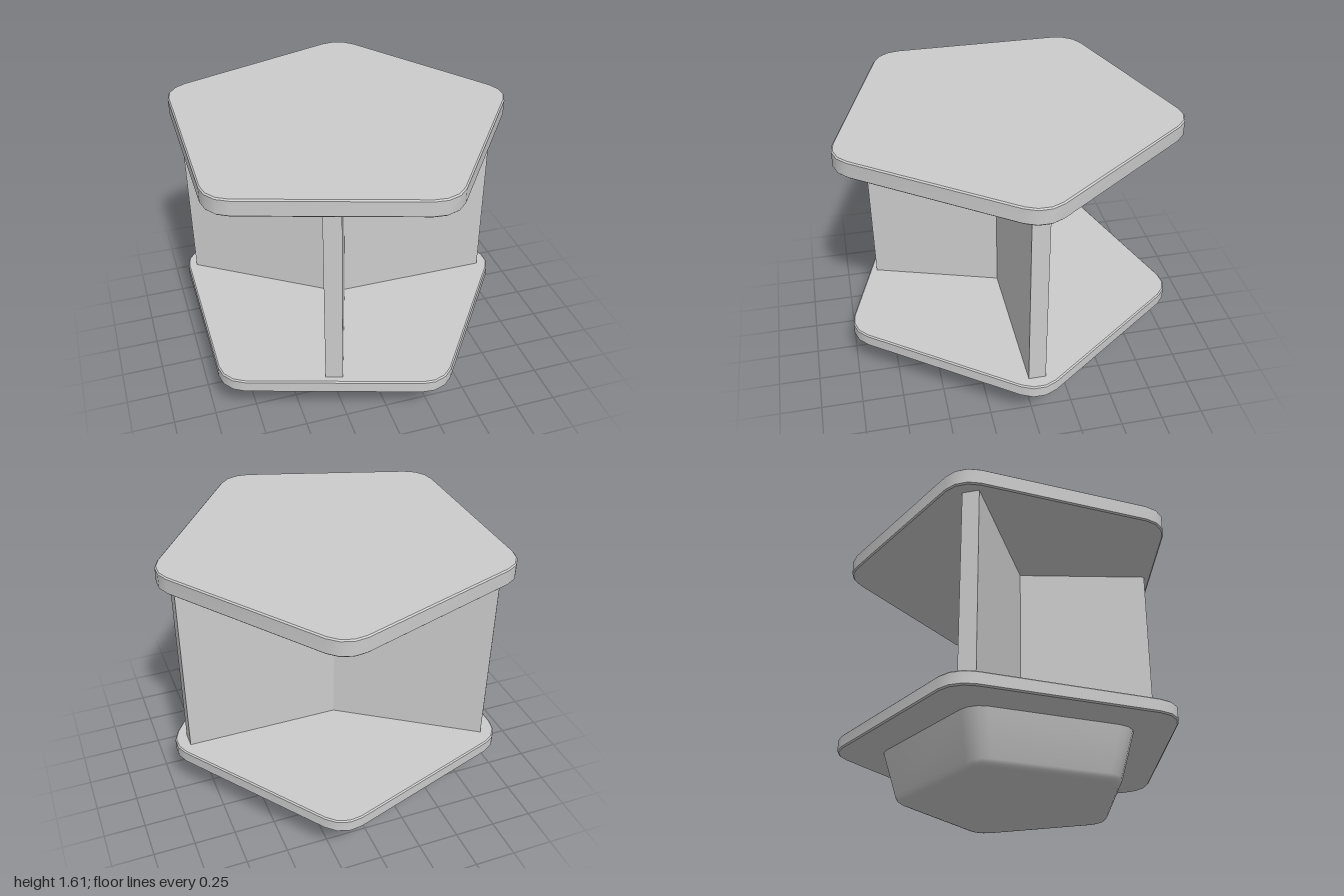
import * as THREE from 'three';
import { toCreasedNormals } from 'three/addons/utils/BufferGeometryUtils.js';

const CENTRE_X = -0.082; // pentagon centre; one corner points to +x
const material = new THREE.MeshStandardMaterial({ color: 0xcccccc });

// Rounded pentagon outline: three short segments per corner
function pentagon(inset, scale) {
  const corner = 0.862, radius = 0.18 - inset, points = [];
  for (let i = 0; i < 5; i++) {
    const mid = (i * 72 * Math.PI) / 180;
    for (const step of [-36, -12, 12, 36]) {
      const a = mid + (step * Math.PI) / 180;
      points.push([
        scale * (corner * Math.cos(mid) + radius * Math.cos(a)),
        scale * (corner * Math.sin(mid) + radius * Math.sin(a)),
      ]);
    }
  }
  return points;
}

// Closed solid through stacked pentagons, listed from bottom to top
function loft(name, levels) {
  const rings = levels.map(({ y, inset = 0, scale = 1 }) =>
    pentagon(inset, scale).map(([x, z]) => [x, y, z]));
  const n = rings[0].length, top = rings.length - 1, pos = [];
  const tri = (...corners) => corners.forEach((c) => pos.push(...c));
  for (let j = 0; j < n; j++) {
    const k = (j + 1) % n;
    for (let i = 0; i < top; i++) {
      tri(rings[i][j], rings[i + 1][j], rings[i][k]);
      tri(rings[i][k], rings[i + 1][j], rings[i + 1][k]);
    }
    tri([0, levels[0].y, 0], rings[0][j], rings[0][k]);
    tri([0, levels[top].y, 0], rings[top][k], rings[top][j]);
  }
  const geometry = new THREE.BufferGeometry();
  geometry.setAttribute('position', new THREE.Float32BufferAttribute(pos, 3));
  const mesh = new THREE.Mesh(toCreasedNormals(geometry, 0.55), material);
  mesh.name = name;
  return mesh;
}

// Flat plate with a fine bevel on both rims
function plate(name, y0, y1) {
  const b = 0.008;
  return loft(name, [
    { y: y0, inset: b }, { y: y0 + b }, { y: y1 - b }, { y: y1, inset: b },
  ]);
}

// Upright wall running outwards from the centre
function wall(name, degrees, length) {
  const y0 = 0.37, y1 = 1.515;
  const geometry = new THREE.BoxGeometry(length, y1 - y0, 0.1);
  geometry.translate(length / 2, (y0 + y1) / 2, 0);
  const mesh = new THREE.Mesh(geometry, material);
  mesh.rotation.y = (-degrees * Math.PI) / 180;
  mesh.name = name;
  return mesh;
}

export function createModel() {
  const model = new THREE.Group();
  model.name = 'pentagonalStand';
  const body = new THREE.Group();
  body.name = 'body';
  body.position.x = CENTRE_X;
  model.add(body);

  // Tapered foot with a rounded lower rim
  body.add(loft('foot', [
    { y: 0, scale: 0.62 },
    { y: 0.004, scale: 0.638 },
    { y: 0.015, scale: 0.652 },
    { y: 0.035, scale: 0.663 },
    { y: 0.3, scale: 0.742 },
  ]));

  // Lower and upper plates
  body.add(plate('lowerPlate', 0.295, 0.377));
  body.add(plate('upperPlate', 1.51, 1.614));

  // Three dividing walls
  body.add(wall('leftWall', 0, 0.962));
  body.add(wall('frontWall', 108, 0.835));
  body.add(wall('backWall', 214.2, 0.962));

  return model;
}
